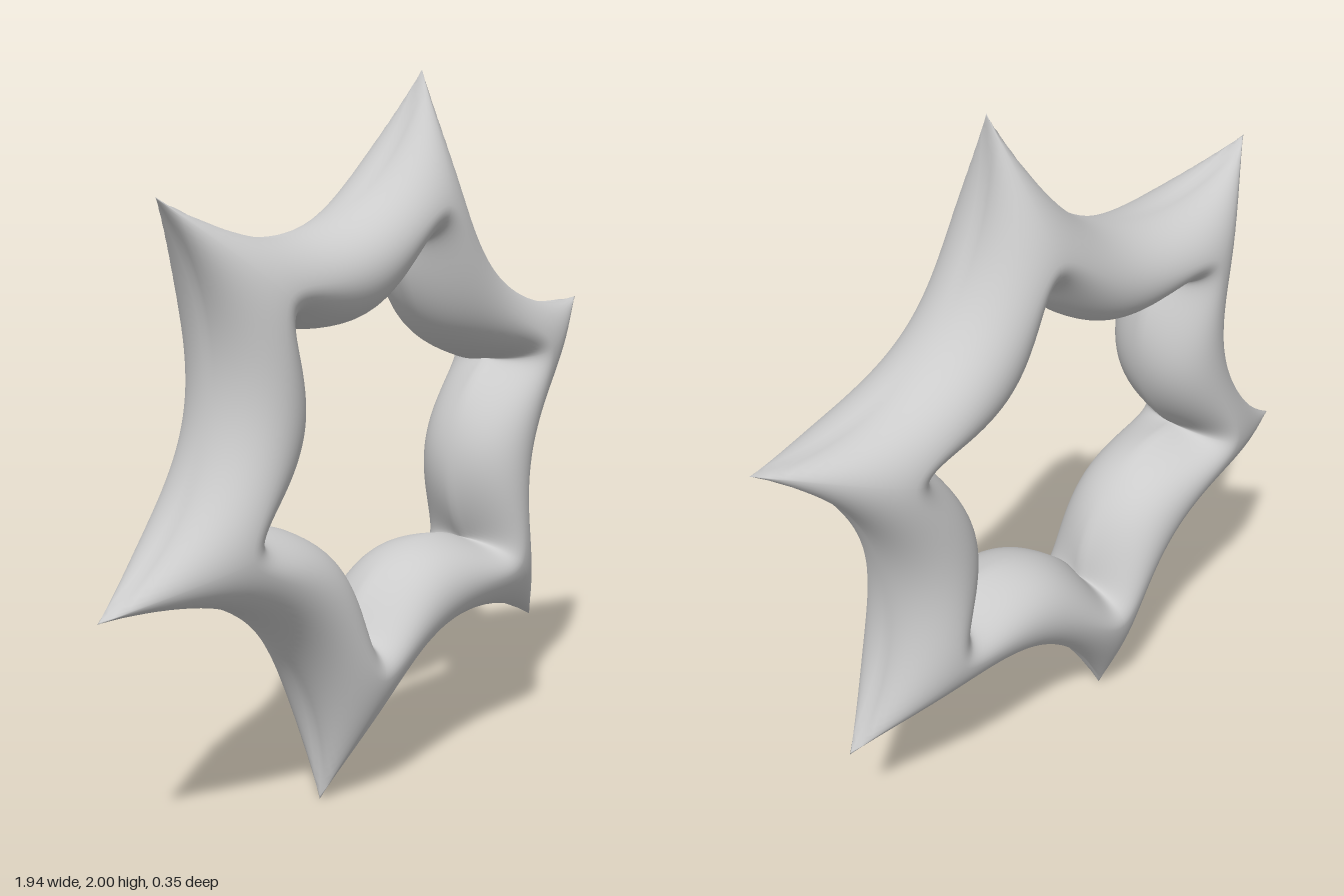
import * as THREE from 'three';

const POINTS = 6, WEDGE = Math.PI / POINTS;
const START = THREE.MathUtils.degToRad(78); // direction of the first tip
const HALF_DEPTH = 0.175;
const STEPS = 40, SIDES = 56; // per tip-to-tip span, and around the tube

// Radius of the tube surface in the middle of a span; a = 0 outside, PI inside
const spanRadius = (a) => 0.495 + 0.135 * Math.cos(a);

// Radius along the line of a tip: a long pointed horn outside, a notch inside
const tipRadius = (a) => a < Math.PI / 2
  ? 0.64 + 0.382 * Math.pow(1 - a / (Math.PI / 2), 1.35)
  : 0.64 + 0.1 * Math.cos(a);

// Turn the angle e from a tip into one that rounds the corner there by k
const soften = (e, k) =>
  WEDGE * (Math.hypot(e, k) - k) / (Math.hypot(WEDGE, k) - k);

// Radius at angle d from the span's middle: a circular arc running from tip to tip,
// sharp at the rims and rounded off on the horns and in the notches
function surfaceRadius(d, a) {
  const mid = spanRadius(a), tip = tipRadius(a);
  const rise = tip * Math.cos(WEDGE) - mid, half = tip * Math.sin(WEDGE);
  const R = (half * half + rise * rise) / (2 * rise), c = mid + R;
  const t = WEDGE - soften(WEDGE - Math.abs(d), 0.001 + 0.12 * Math.sin(a));
  return c * Math.cos(t) - Math.sqrt(R * R - (c * Math.sin(t)) ** 2);
}

export function createModel() {
  const positions = [], index = [];
  const rings = POINTS * STEPS;

  // Closed cross-sections around the star, packed closer together at the tips
  for (let i = 0; i < rings; i++) {
    const span = Math.floor(i / STEPS);
    const s = (i % STEPS) / STEPS * 2 - 1;
    const d = WEDGE * Math.sin(s * Math.PI / 2);
    const theta = START + (2 * span + 1) * WEDGE + d;
    for (let j = 0; j < SIDES; j++) {
      const phi = j / SIDES * Math.PI * 2;
      const a = phi <= Math.PI ? phi : Math.PI * 2 - phi;
      const r = surfaceRadius(d, a);
      positions.push(r * Math.cos(theta), 1 + r * Math.sin(theta), HALF_DEPTH * Math.sin(phi));
    }
  }

  // Join neighbouring cross-sections, wrapping both ways
  for (let i = 0; i < rings; i++) {
    for (let j = 0; j < SIDES; j++) {
      const i2 = (i + 1) % rings, j2 = (j + 1) % SIDES;
      const p = i * SIDES + j, q = i2 * SIDES + j, u = i2 * SIDES + j2, v = i * SIDES + j2;
      index.push(p, q, u, p, u, v);
    }
  }

  const geometry = new THREE.BufferGeometry();
  geometry.setAttribute('position', new THREE.Float32BufferAttribute(positions, 3));
  geometry.setIndex(index);
  geometry.computeVertexNormals();

  const star = new THREE.Mesh(geometry, new THREE.MeshStandardMaterial({ color: 0xcccccc }));
  star.name = 'starRing';
  const group = new THREE.Group();
  group.name = 'sixPointedStarRing';
  group.add(star);
  return group;
}
